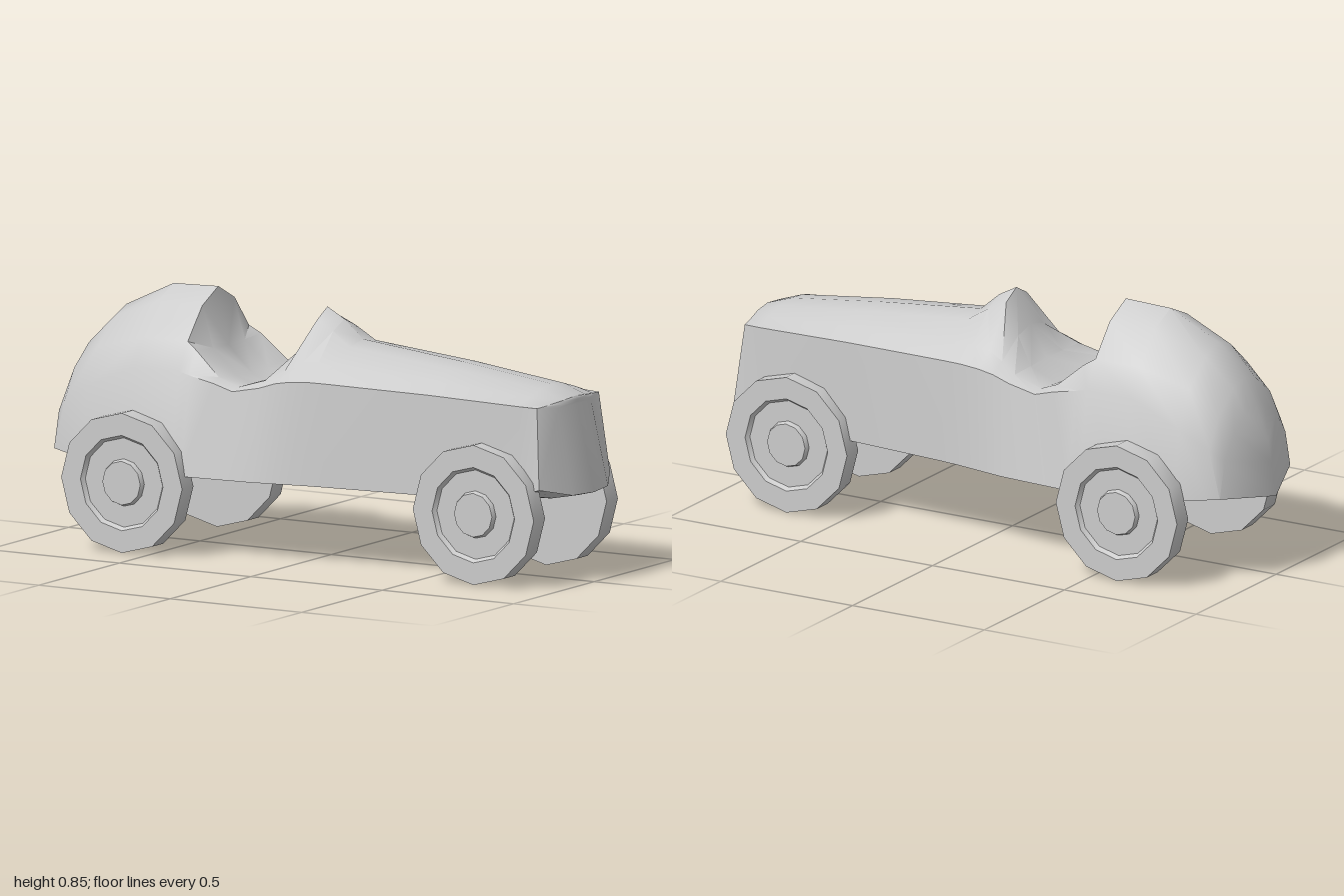
import * as THREE from 'three';
import { toCreasedNormals } from 'three/addons/utils/BufferGeometryUtils.js';

const material = new THREE.MeshStandardMaterial({ color: 0xcccccc });

// Linear lookup in a table of [x, value]
function sample(table, x) {
  let i = 0;
  while (i < table.length - 2 && x > table[i + 1][0]) i++;
  const [a, b] = [table[i], table[i + 1]];
  return THREE.MathUtils.mapLinear(x, a[0], b[0], a[1], b[1]);
}

// Underside: centre keel height, sill height and sill half width along the car
const keel = [[-0.92, 0.26], [-0.8, 0.245], [-0.2, 0.226], [0.45, 0.23], [0.84, 0.26]];
const sillY = [[-0.92, 0.3], [-0.7, 0.28], [-0.4, 0.265], [0.5, 0.27], [0.84, 0.3]];
const sillZ = [[-0.92, 0.22], [-0.8, 0.27], [-0.4, 0.3], [-0.14, 0.288], [0.08, 0.252], [0.47, 0.222], [0.84, 0.212]];

// Upper body: x, then z,y of shoulder, flank and crown, then y of the centre line
const sections = [
  [-0.92, 0.19, 0.42, 0.13, 0.50, 0.06, 0.55, 0.575],
  [-0.88, 0.22, 0.46, 0.16, 0.56, 0.07, 0.63, 0.65],
  [-0.78, 0.245, 0.52, 0.18, 0.64, 0.08, 0.725, 0.755],
  [-0.6, 0.245, 0.6, 0.19, 0.69, 0.1, 0.795, 0.84],
  [-0.43, 0.245, 0.6, 0.19, 0.69, 0.1, 0.795, 0.845],
  [-0.39, 0.245, 0.59, 0.2, 0.665, 0.1, 0.66, 0.655],
  [-0.3, 0.24, 0.57, 0.21, 0.588, 0.1, 0.577, 0.57],
  [-0.23, 0.24, 0.55, 0.2, 0.56, 0.1, 0.55, 0.545],
  [-0.13, 0.238, 0.57, 0.2, 0.59, 0.1, 0.592, 0.595],
  [-0.07, 0.238, 0.59, 0.18, 0.62, 0.08, 0.68, 0.7],
  [-0.015, 0.238, 0.6, 0.17, 0.645, 0.065, 0.78, 0.815],
  [0.05, 0.236, 0.605, 0.17, 0.65, 0.07, 0.75, 0.78],
  [0.12, 0.232, 0.605, 0.17, 0.655, 0.08, 0.705, 0.72],
  [0.5, 0.215, 0.6, 0.16, 0.635, 0.08, 0.67, 0.68],
  [0.84, 0.2, 0.59, 0.14, 0.61, 0.07, 0.63, 0.637],
];

function bodyGeometry() {
  // Half rings of [x, y, z], from the keel up to the top centre line
  const halves = sections.map(([x, z1, y1, z2, y2, z3, y3, top]) => [
    [x, sample(keel, x), 0], [x, sample(sillY, x), sample(sillZ, x)],
    [x, y1, z1], [x, y2, z2], [x, y3, z3], [x, top, 0],
  ]);
  // Tail closes to an upright ridge
  halves.unshift([[-1, 0.267, 0], [-1, 0.267, 0], [-0.982, 0.38, 0], [-0.97, 0.45, 0], [-0.945, 0.51, 0], [-0.92, 0.575, 0]]);
  // Nose rim, bulging grille and its centre line
  halves.push(
    [[0.94, 0.28, 0], [0.925, 0.325, 0.22], [0.9, 0.588, 0.192], [0.91, 0.592, 0.14], [0.925, 0.6, 0.07], [0.93, 0.606, 0]],
    [[1, 0.295, 0], [0.985, 0.298, 0.11], [0.926, 0.58, 0.1], [0.928, 0.588, 0.08], [0.93, 0.597, 0.05], [0.932, 0.602, 0]],
    [[1, 0.295, 0], [1, 0.297, 0], [0.936, 0.58, 0], [0.935, 0.588, 0], [0.934, 0.595, 0], [0.932, 0.602, 0]],
  );
  // Mirror each half into a closed ring
  const rings = halves.map((h) => [...h, ...h.slice(1, -1).reverse().map(([x, y, z]) => [x, y, -z])]);
  const n = rings[0].length;
  const index = [];
  for (let i = 0; i < rings.length - 1; i++) {
    for (let j = 0; j < n; j++) {
      const a = i * n + j, b = i * n + (j + 1) % n;
      // Diagonals mirror from one side to the other
      if (j < n / 2) index.push(a, a + n, b + n, a, b + n, b);
      else index.push(a, a + n, b, a + n, b + n, b);
    }
  }
  const geometry = new THREE.BufferGeometry();
  geometry.setAttribute('position', new THREE.Float32BufferAttribute(rings.flat(2), 3));
  geometry.setIndex(index);
  return toCreasedNormals(geometry.toNonIndexed(), 0.75);
}

// Wheel: tyre, recessed disc and raised hub in one turned profile
function wheelGeometry() {
  const profile = [
    [0, 0], [0.23, 0], [0.23, 0.07], [0.157, 0.07], [0.147, 0.056],
    [0.078, 0.056], [0.072, 0.072], [0, 0.072],
  ].map(([r, h]) => new THREE.Vector2(r, h));
  const lathe = new THREE.LatheGeometry(profile, 12);
  lathe.rotateX(Math.PI / 2);
  return toCreasedNormals(lathe.toNonIndexed(), 0.6);
}

export function createModel() {
  const car = new THREE.Group();
  car.name = 'car';

  const body = new THREE.Mesh(bodyGeometry(), material);
  body.name = 'body';
  car.add(body);

  // Four wheels; the rear pair sits wider apart
  const geometry = wheelGeometry();
  for (const [end, x, z] of [['rear', -0.595, 0.261], ['front', 0.7, 0.191]]) {
    for (const side of [1, -1]) {
      const wheel = new THREE.Mesh(geometry, material);
      wheel.name = `${end}Wheel${side > 0 ? 'NearSide' : 'FarSide'}`;
      wheel.position.set(x, 0.23, side * z);
      if (side < 0) wheel.rotation.y = Math.PI;
      car.add(wheel);
    }
  }
  return car;
}
